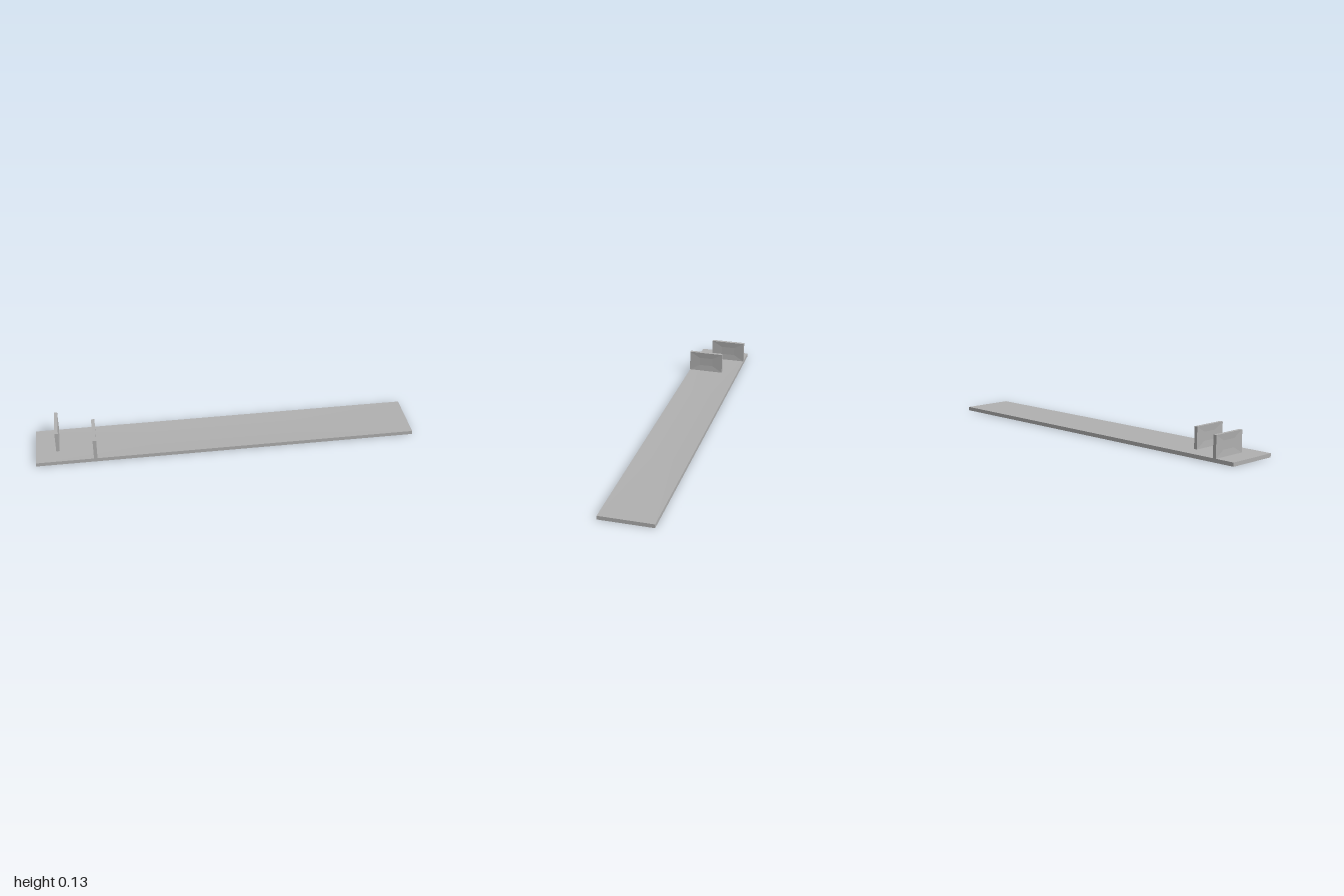
import * as THREE from 'three';

// Rectangular slab, thin along y, with a shallow dished panel on both broad faces.
function slabGeometry(width, thickness, depth, dish) {
  const corner = Math.SQRT1_2, inner = corner * 0.4, h = thickness / 2;
  const profile = [
    [0, -h + dish], [inner, -h + dish], [corner, -h],
    [corner, h], [inner, h - dish], [0, h - dish],
  ].map(([r, y]) => new THREE.Vector2(r, y));
  const geometry = new THREE.LatheGeometry(profile, 4, Math.PI / 4);
  geometry.scale(width, 1, depth);
  const flat = geometry.toNonIndexed();
  flat.computeVertexNormals();
  return flat;
}

export function createModel() {
  const model = new THREE.Group();
  model.name = 'plankWithDividers';
  const grey = new THREE.MeshStandardMaterial({ color: 0xb0b0b0 });
  grey.name = 'grey';

  // Long floor plank
  const floor = new THREE.Mesh(slabGeometry(2, 0.02, 0.28, 0.003), grey);
  floor.name = 'floor';
  floor.position.y = 0.01;
  model.add(floor);

  // Two staggered upright dividers, one against each long edge
  const wall = slabGeometry(0.113, 0.018, 0.192, 0.003);
  wall.rotateZ(Math.PI / 2);
  for (const [name, x, z] of [['backDivider', -0.885, -0.044], ['frontDivider', -0.692, 0.044]]) {
    const divider = new THREE.Mesh(wall, grey);
    divider.name = name;
    divider.position.set(x, 0.0765, z);
    model.add(divider);
  }
  return model;
}
